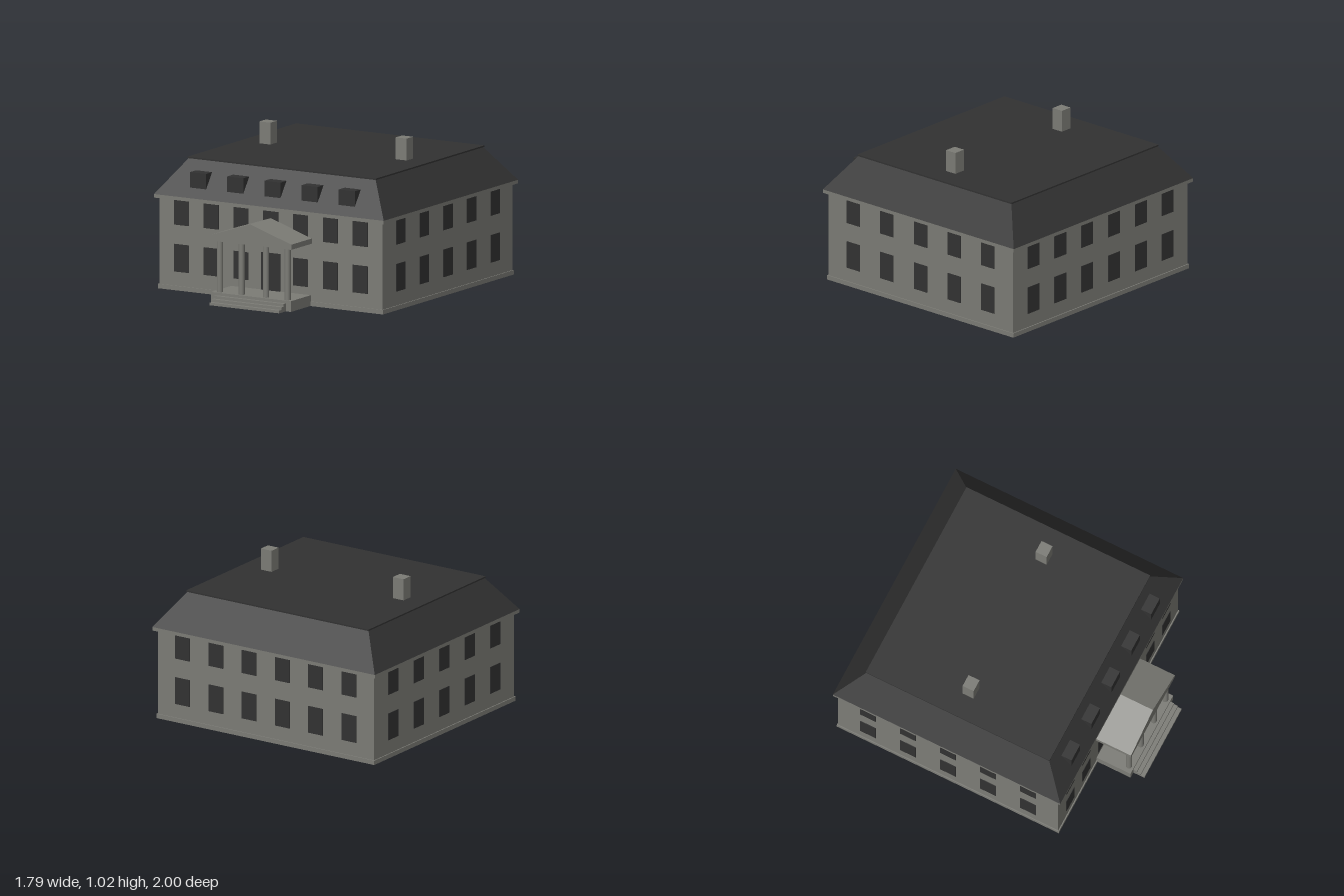
import * as THREE from 'three';

const stone = new THREE.MeshStandardMaterial({ color: 0x7c7c76 });
stone.name = 'grey stone';
const slate = new THREE.MeshStandardMaterial({ color: 0x323232 });
slate.name = 'dark slate';

const ZC = -0.152; // centre of the main block in z

export function createModel() {
  const house = new THREE.Group();
  house.name = 'house';

  const add = (name, geometry, material, x = 0, y = 0, z = 0) => {
    const mesh = new THREE.Mesh(geometry, material);
    mesh.name = name;
    mesh.position.set(x, y, z);
    house.add(mesh);
    return mesh;
  };
  // Box given by its centre in x and z and its bottom and top heights
  const block = (name, material, w, d, y0, y1, x = 0, z = ZC) =>
    add(name, new THREE.BoxGeometry(w, y1 - y0, d), material, x, (y0 + y1) / 2, z);

  // Main block
  block('plinth', stone, 1.75, 1.65, 0, 0.03);
  block('walls', stone, 1.736, 1.635, 0.03, 0.612);
  block('cornice', stone, 1.786, 1.69, 0.612, 0.636);

  // Hipped roof: a box whose top corners are pulled inwards
  const roof = new THREE.BoxGeometry(1.786, 0.234, 1.69);
  const p = roof.attributes.position;
  for (let i = 0; i < p.count; i++) {
    if (p.getY(i) > 0) p.setXYZ(i, Math.sign(p.getX(i)) * 0.725, p.getY(i), Math.sign(p.getZ(i)) * 0.675);
  }
  roof.computeVertexNormals();
  add('roof', roof, slate, 0, 0.753, ZC);
  block('roofCap', slate, 1.464, 1.366, 0.868, 0.878);

  // Windows on all four sides, in two storeys
  const sides = [
    { name: 'front', count: 7, width: 1.736, out: 0.8175, turn: 0 },
    { name: 'back', count: 6, width: 1.736, out: 0.8175, turn: Math.PI },
    { name: 'leftSide', count: 5, width: 1.635, out: 0.868, turn: Math.PI / 2 },
    { name: 'rightSide', count: 5, width: 1.635, out: 0.868, turn: -Math.PI / 2 },
  ];
  for (const s of sides) {
    const wall = new THREE.Group();
    wall.name = s.name + 'Windows';
    wall.position.z = ZC;
    wall.rotation.y = s.turn;
    const step = s.width / (s.count + 0.5);
    for (let i = 0; i < s.count; i++) {
      for (const [y0, y1] of [[0.125, 0.311], [0.441, 0.612]]) {
        const x = (i - (s.count - 1) / 2) * step;
        if (s.name === 'front' && i === 3 && y0 < 0.2) continue; // the door is here
        const pane = new THREE.Mesh(new THREE.BoxGeometry(0.116, y1 - y0, 0.008), slate);
        pane.name = 'window';
        pane.position.set(x, (y0 + y1) / 2, s.out);
        wall.add(pane);
      }
    }
    house.add(wall);
  }
  block('door', slate, 0.147, 0.009, 0.072, 0.325, 0, 0.668);

  // Dormers set into the front slope
  for (let i = -2; i <= 2; i++) block('dormer', slate, 0.125, 0.13, 0.688, 0.802, i * 0.289, 0.583);

  // Chimneys
  for (const x of [-0.53, 0.53]) block('chimney', stone, 0.086, 0.082, 0.87, 1.025, x, -0.155);

  // Porch floor and steps
  block('porchFloor', stone, 0.62, 0.257, 0, 0.072, 0, 0.7885);
  for (let i = 0; i < 3; i++) {
    const z1 = 1 - i * 0.028;
    block('step', stone, 0.54, z1 - 0.91, i * 0.018, (i + 1) * 0.018, 0, (z1 + 0.91) / 2);
  }

  // Columns
  for (const x of [-0.263, -0.095, 0.095, 0.263]) {
    add('column', new THREE.CylinderGeometry(0.021, 0.021, 0.35, 12), stone, x, 0.247, 0.882);
  }

  // Entablature and gable in one outline
  const gable = new THREE.Shape();
  gable.moveTo(-0.318, 0.42);
  gable.lineTo(0.318, 0.42);
  gable.lineTo(0.318, 0.455);
  gable.lineTo(0, 0.56);
  gable.lineTo(-0.318, 0.455);
  gable.closePath();
  add('pediment', new THREE.ExtrudeGeometry(gable, { depth: 0.265, bevelEnabled: false }), stone, 0, 0, 0.66);

  return house;
}
